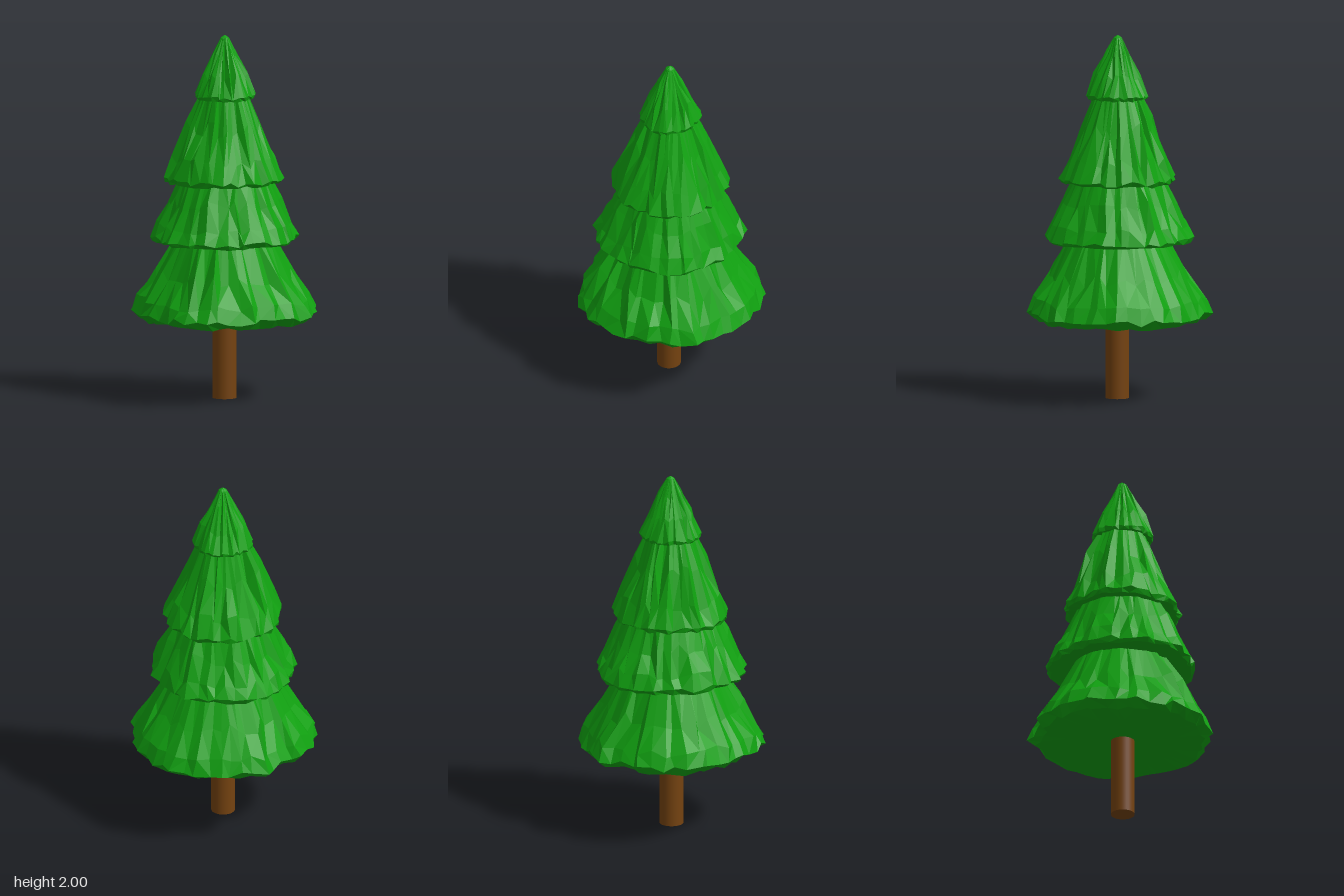
import * as THREE from 'three';

const foliageMat = new THREE.MeshStandardMaterial({ color: 0x10a010, flatShading: true });
const barkMat = new THREE.MeshStandardMaterial({ color: 0x744210 });

// Small seeded generator, returns -1..1
function makeRandom(seed) {
  let s = seed;
  return () => {
    s = (s * 16807) % 2147483647;
    return (s / 2147483647) * 2 - 1;
  };
}

// Rim radius of the lowest tier every 15 degrees, from +x towards +z
const RIM = [0.51, 0.49, 0.475, 0.485, 0.475, 0.5, 0.51, 0.495, 0.48, 0.48, 0.5, 0.52,
  0.51, 0.505, 0.46, 0.51, 0.48, 0.48, 0.5, 0.51, 0.515, 0.51, 0.485, 0.485];

// Each ring: [radius, height, pleat depth, height jitter], from top to underside
const TIERS = [
  { name: 'lowestTier', seed: 11, sides: 48, shift: 0, rings: [
    [0, 0.93, 0, 0], [0.25, 0.92, 0.02, 0], [0.375, 0.69, 0.05, 0.04], [0.465, 0.55, 0.045, 0.02],
    [0.5, 0.475, 0.035, 0.018], [0.455, 0.437, 0.04, 0.01], [0.3, 0.435, 0, 0], [0, 0.44, 0, 0]] },
  { name: 'lowerMiddleTier', seed: 23, sides: 46, shift: 5, rings: [
    [0, 1.26, 0, 0], [0.235, 1.24, 0.03, 0], [0.305, 1.09, 0.055, 0.04], [0.365, 0.96, 0.05, 0.02],
    [0.4, 0.89, 0.045, 0.015], [0.385, 0.868, 0.045, 0.006], [0.28, 0.875, 0.02, 0], [0, 0.88, 0, 0]] },
  { name: 'upperMiddleTier', seed: 37, sides: 44, shift: 11, rings: [
    [0, 1.74, 0, 0], [0.11, 1.72, 0.04, 0], [0.195, 1.5, 0.08, 0.05], [0.272, 1.32, 0.07, 0.03],
    [0.32, 1.215, 0.055, 0.015], [0.305, 1.195, 0.055, 0.008], [0.21, 1.205, 0.02, 0], [0, 1.21, 0, 0]] },
  { name: 'topTier', seed: 53, sides: 40, shift: 17, rings: [
    [0, 2, 0, 0], [0.022, 1.985, 0.1, 0], [0.062, 1.9, 0.12, 0.02], [0.12, 1.77, 0.1, 0.025],
    [0.165, 1.67, 0.07, 0.01], [0.158, 1.65, 0.07, 0.005], [0.1, 1.655, 0.02, 0], [0, 1.66, 0, 0]] },
];

// Pleated, irregular skirt of foliage with a closed underside
function makeTier({ name, seed, sides, shift, rings }) {
  const rand = makeRandom(seed * 7919);
  const pleat = [], turn = [], lobe = [];
  for (let i = 0; i < sides; i++) {
    pleat.push((i % 2 ? -0.5 : 0.5) + 0.5 * rand());
    turn.push((i + 0.32 * rand()) / sides * Math.PI * 2);
    const t = (i / sides) * RIM.length + shift;
    const a = RIM[Math.floor(t) % RIM.length], b = RIM[(Math.floor(t) + 1) % RIM.length];
    lobe.push((a + (b - a) * (t % 1)) / 0.495);
  }
  const grid = rings.map(([r, y, depth, dy], k) => pleat.map((p, i) => {
    const wave = 1 + (lobe[i] - 1) * (k > 1 && k < 6 ? 0.9 : 0.3);
    const radius = r * wave * (1 + depth * (0.65 * p + 0.4 * rand()));
    const angle = turn[i] + 0.2 * rand() * (Math.PI * 2 / sides);
    return [radius * Math.cos(angle), y + dy * rand(), radius * Math.sin(angle)];
  }));

  const pos = [];
  const tri = (...corners) => corners.forEach((c) => pos.push(...c));
  for (let k = 0; k < rings.length - 1; k++) {
    for (let i = 0; i < sides; i++) {
      const j = (i + 1) % sides;
      const a = grid[k][i], b = grid[k][j], c = grid[k + 1][i], d = grid[k + 1][j];
      if (rings[k][0] === 0) tri(a, d, c);
      else if (rings[k + 1][0] === 0) tri(a, b, c);
      else if (rand() > 0) { tri(a, b, c); tri(b, d, c); }
      else { tri(a, b, d); tri(a, d, c); }
    }
  }
  const geo = new THREE.BufferGeometry();
  geo.setAttribute('position', new THREE.Float32BufferAttribute(pos, 3));
  geo.computeVertexNormals();
  const mesh = new THREE.Mesh(geo, foliageMat);
  mesh.name = name;
  return mesh;
}

export function createModel() {
  const tree = new THREE.Group();
  tree.name = 'pineTree';

  // Trunk
  const trunk = new THREE.Mesh(new THREE.CylinderGeometry(0.065, 0.065, 0.5, 32), barkMat);
  trunk.name = 'trunk';
  trunk.position.set(-0.005, 0.25, 0);
  tree.add(trunk);

  // Foliage tiers
  const foliage = new THREE.Group();
  foliage.name = 'foliage';
  TIERS.forEach((tier) => foliage.add(makeTier(tier)));
  foliage.position.set(-0.005, 0, -0.005);
  tree.add(foliage);
  return tree;
}
